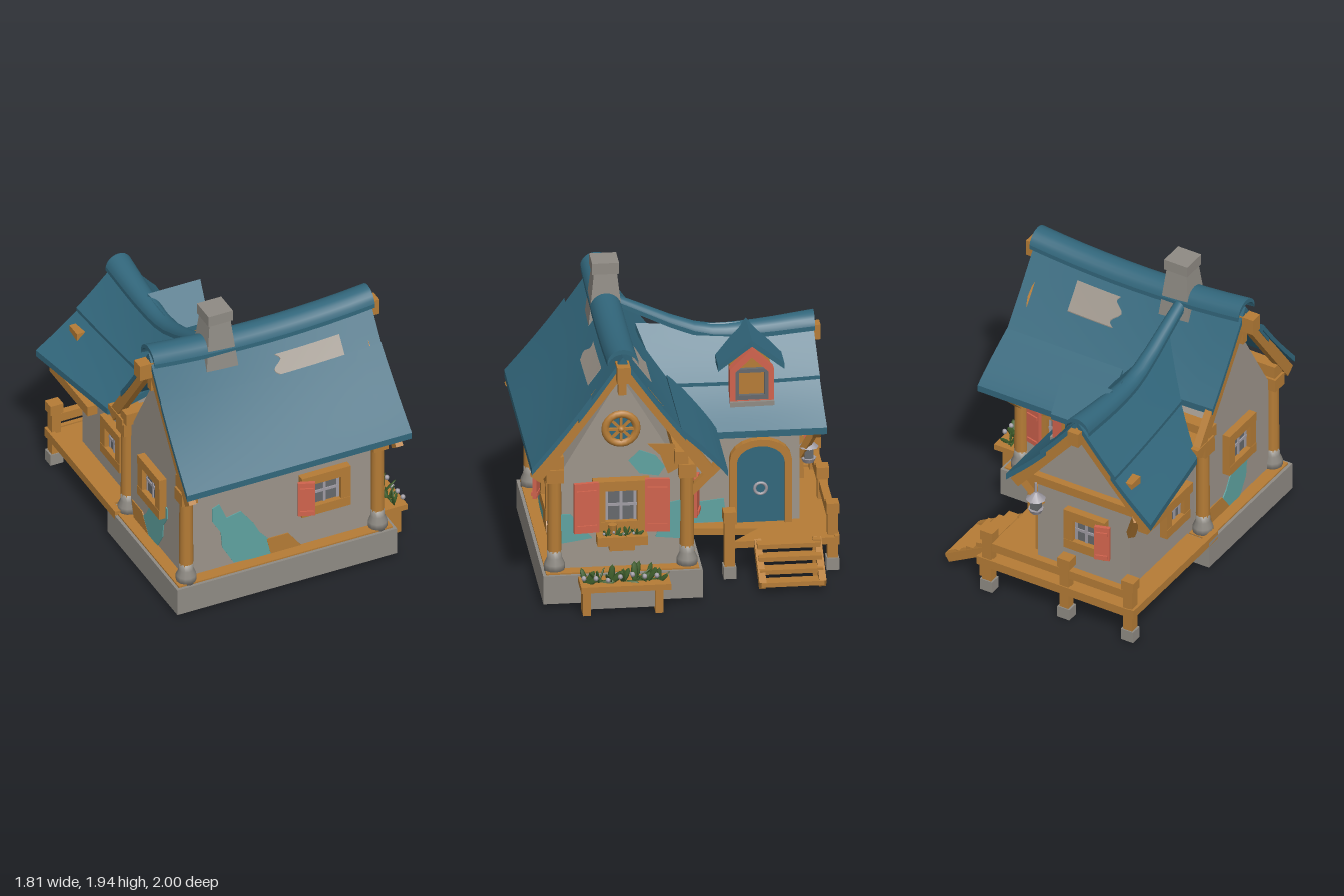
import * as THREE from 'three';

const mat = (name, color) => Object.assign(new THREE.MeshStandardMaterial({ color }), { name });
const M = {
  wall: mat('plaster', 0x9c948a), stone: mat('stone', 0x8f8b84), wood: mat('wood', 0xb57c36),
  roof: mat('roof teal', 0x32677c), patch: mat('faded teal', 0x5fa3a0), coral: mat('coral', 0xd0634d),
  leaf: mat('leaf green', 0x40602c), glass: mat('glass', 0x66696c), petal: mat('petal grey', 0xa09ca4),
};
const lerp = THREE.MathUtils.lerp;
const V = (x, y, z) => new THREE.Vector3(x, y, z);
const D90 = Math.PI / 2;

export function createModel() {
  const model = new THREE.Group();
  model.name = 'cottage';

  const add = (name, geo, m, x = 0, y = 0, z = 0, ry = 0, parent = model) => {
    const mesh = new THREE.Mesh(geo, m);
    mesh.name = name;
    mesh.position.set(x, y, z);
    mesh.rotation.y = ry;
    parent.add(mesh);
    return mesh;
  };
  const box = (name, m, w, h, d, x, y, z, ry = 0, parent = model) =>
    add(name, new THREE.BoxGeometry(w, h, d), m, x, y, z, ry, parent);
  const shape = (pts) => new THREE.Shape(pts.map(([a, b]) => new THREE.Vector2(a, b)));
  const slab = (pts, depth, hole) => {
    const s = shape(pts);
    if (hole) s.holes.push(shape(hole));
    return new THREE.ExtrudeGeometry(s, { depth, bevelEnabled: false });
  };
  // straight timber between two points
  const beam = (name, a, b, w = 0.05, h = 0.05, m = M.wood) => {
    const mesh = box(name, m, w, h, a.distanceTo(b), 0, 0, 0);
    mesh.position.copy(a).lerp(b, 0.5);
    mesh.lookAt(b);
    return mesh;
  };
  // thick curved sheet: u runs along x, v along z
  const sheet = (name, f, t = 0.045, m = M.roof, n = 10) => {
    const g = new THREE.BoxGeometry(1, 1, 1, n, 1, n), p = g.attributes.position;
    for (let i = 0; i < p.count; i++) {
      const q = f(p.getX(i) + 0.5, p.getZ(i) + 0.5);
      p.setXYZ(i, q.x, q.y + p.getY(i) * t, q.z);
    }
    g.computeVertexNormals();
    return add(name, g, m);
  };

  // stone base and plastered house body
  box('stoneBase', M.stone, 1.54, 0.19, 1.01, -0.07, 0.125, 0.415);
  box('floorSill', M.wood, 1.5, 0.012, 0.97, -0.07, 0.224, 0.415);
  add('mainWalls', slab([[-0.82, 0.22], [0, 0.22], [0, 0.9], [-0.06, 0.92], [-0.42, 1.53], [-0.78, 0.92], [-0.82, 0.9]], 1.34), M.wall, -0.74, 0, 0, D90);
  add('wingWalls', slab([[-0.68, 0.2], [0, 0.2], [0, 0.88], [-0.34, 1.34], [-0.68, 0.88]], 0.82), M.wall, 0, 0, -0.78);

  // corner posts with bell shaped stone feet
  const bell = new THREE.LatheGeometry([[0, 0], [0.066, 0], [0.066, 0.05], [0.048, 0.09], [0.046, 0.14], [0, 0.14]].map(([r, y]) => new THREE.Vector2(r, y)), 12);
  for (const x of [-0.74, 0.6]) for (const z of [0.84, 0]) {
    add('postFoot', bell, M.stone, x, 0.22, z);
    add('cornerPost', new THREE.CylinderGeometry(0.043, 0.046, 0.54, 10), M.wood, x, 0.62, z);
    box('postCapital', M.wood, 0.11, 0.09, 0.11, x, 0.88, z);
  }
  for (const z of [0.83, 0.04]) beam('wallPlate', V(-0.79, 0.98, z), V(0.67, 0.98, z), 0.085, 0.085);
  beam('cornerBrace', V(0.6, 0.72, -0.02), V(0.6, 0.9, -0.2));
  beam('cornerBrace', V(0.5, 0.7, -0.02), V(0.12, 0.9, -0.1));
  box('eaveBoard', M.wood, 0.2, 0.04, 0.2, -0.7, 0.94, -0.06);

  // main roof
  const sag = (x) => 0.05 * (x / 0.77) ** 2 - 0.03;
  const slopeY = (x, z) => {
    const t = Math.abs(z - 0.42) / 0.58;
    return lerp(1.68 + sag(x), 0.94, t) - 0.03 * Math.sin(Math.PI * Math.min(t, 1));
  };
  const course = (name, x0, x1, z0, z1, lift) => sheet(name, (u, v) => {
    const x = lerp(x0, x1, u), z = lerp(z0, z1, v);
    return V(x, slopeY(x, z) + lift, z);
  });
  course('frontUpperRoof', -0.8, 0.735, 0.42, 0.7, 0);
  sheet('frontLowerRoof', (u, v) => {
    const z = lerp(0.62, 1, v), x = lerp(-0.81, 0.735 + 0.03 * v, u);
    return V(x, slopeY(x, z) + 0.03, z);
  });
  course('rearUpperRoof', -0.8, 0.735, 0.02, 0.42, 0);
  sheet('rearLowerRoof', (u, v) => {
    const x = lerp(-0.12, 0.775 - 0.04 * v, u);
    return V(x, lerp(0.91, 1.19, v ** 0.9), lerp(-0.24, 0.05, v));
  });
  sheet('mainRidgeCap', (u, v) => {
    const x = lerp(-0.805, 0.735, u), a = lerp(-1.4, 1.4, v);
    return V(x, 1.645 + 0.9 * sag(x) + 0.095 * Math.cos(a), 0.42 + 0.1 * Math.sin(a));
  }, 0.03);
  // bare plaster where tiles are missing
  const bare = (z0, z1, x0, x1) => sheet('bareRoofPatch', (u, v) => {
    const x = lerp(x0 + 0.03 * Math.sin(v * 9), x1, u), z = lerp(z0, z1, v);
    return V(x, slopeY(x, z) + 0.026, z);
  }, 0.008, M.wall);
  bare(0.53, 0.64, 0.03, 0.48);
  bare(0.2, 0.32, 0.05, 0.38);

  // main gable trim
  for (const [x, end] of [[0.68, 0.76], [-0.77, -0.845]]) {
    for (const s of [1, -1]) {
      const foot = s > 0 ? V(x, 0.89, 0.97) : V(x, 0.89, -0.13);
      beam('bargeboard', V(x, 1.62, 0.42 + s * 0.01), foot, 0.05, 0.075);
    }
    box('ridgeBeam', M.wood, 0.12, 0.11, 0.085, end - Math.sign(end) * 0.025, 1.615, 0.42);
    box('kingPost', M.wood, 0.05, 0.13, 0.05, x, 1.51, 0.42);
  }

  // wing roof with sagging ridge
  const ridgeY = (z) => 1.4 + 0.09 * (z + 0.3) ** 2;
  for (const s of [-1, 1]) {
    const half = (z) => s > 0 ? 0.5 : lerp(0.57, 0.44, (z + 0.95) / 0.78);
    const part = (name, t0, t1, lift) => sheet(name, (u, v) => {
      const t = s > 0 ? lerp(t0, t1, u) : lerp(t1, t0, u);
      const z = lerp(-0.9 - 0.04 * t, lerp(0.22, s > 0 ? -0.04 : -0.17, t), v);
      return V(-0.36 + s * t * half(z), lerp(ridgeY(z), 0.89, t) - 0.03 * Math.sin(Math.PI * t) + lift, z);
    });
    part('wingUpperRoof', 0, 0.52, 0.025);
    part('wingLowerRoof', 0.46, 1, 0);
    beam('wingBargeboard', V(-0.36, 1.38, -0.86), V(s > 0 ? 0.1 : -0.87, 0.84, -0.88), 0.05, 0.07);
    beam('wingBrace', V(-0.36 + s * 0.33, 0.66, -0.79), V(-0.36 + s * 0.42, 0.86, -0.87), 0.045, 0.045);
  }
  const spine = new THREE.CatmullRomCurve3([V(0, 1.4, -0.91), V(0, 1.365, -0.5), V(0, 1.38, -0.2), V(0, 1.61, 0.33)]);
  sheet('wingRidgeCap', (u, v) => {
    const p = spine.getPoint(v), a = lerp(-1.4, 1.4, u), r = lerp(0.09, 0.04, v);
    return V(-0.365 + r * Math.sin(a), p.y + r * Math.cos(a), p.z);
  }, 0.03);
  box('wingRidgeBeam', M.wood, 0.08, 0.1, 0.14, -0.36, 1.37, -0.88);
  box('wingTieBeam', M.wood, 0.84, 0.06, 0.06, -0.4, 0.86, -0.8);
  box('wingBeamEnd', M.wood, 0.09, 0.1, 0.11, -0.69, 1.05, -0.8);
  box('wingEaveBeam', M.wood, 0.07, 0.07, 0.55, -0.83, 0.81, -0.6);

  // chimney
  const chimney = new THREE.CylinderGeometry(0.1, 0.165, 0.42, 4).rotateY(Math.PI / 4).toNonIndexed();
  chimney.computeVertexNormals();
  add('chimneyStack', chimney, M.stone, -0.335, 1.68, 0.42);
  box('chimneyCap', M.stone, 0.17, 0.075, 0.17, -0.335, 1.9, 0.42);

  // windows, built facing +z
  const windowAt = (x, y, z, ry, w, h, shutters) => {
    const g = new THREE.Group(), f = 0.065;
    g.name = 'window';
    g.position.set(x, y, z);
    g.rotation.y = ry;
    model.add(g);
    box('pane', M.glass, w - f, h - f, 0.03, 0, 0, 0, 0, g);
    for (const s of [-1, 1]) {
      box('frameSide', M.wood, f, h, 0.08, s * (w - f) / 2, 0, 0.01, 0, g);
      box('frameRail', M.wood, w, f, 0.085, 0, s * (h - f) / 2, 0.01, 0, g);
      box('sash', M.petal, 0.018, h - f, 0.04, s * (w / 2 - f - 0.01), 0, 0, 0, g);
    }
    box('mullion', M.petal, 0.018, h - f, 0.045, 0, 0, 0, 0, g);
    box('glazingBar', M.petal, w - f, 0.018, 0.045, 0, 0, 0, 0, g);
    for (const [sx, sw, sh, tilt] of shutters) {
      box('shutter', M.coral, sw, sh, 0.025, sx, 0.01, 0.075, tilt, g);
      for (const dy of [-0.35, 0.35]) box('hinge', M.coral, sw * 0.8, 0.025, 0.04, sx, dy * sh, 0.078, tilt, g);
    }
  };
  windowAt(0.225, 0.62, 0.82, 0, 0.34, 0.3, [[-0.15, 0.11, 0.25, -0.35]]);
  windowAt(0.6, 0.66, 0.42, D90, 0.33, 0.34, [[-0.225, 0.16, 0.34, 0.1], [0.225, 0.155, 0.36, -0.1]]);
  windowAt(-0.74, 0.67, 0.4, -D90, 0.32, 0.3, []);
  windowAt(-0.68, 0.55, -0.28, -D90, 0.28, 0.28, []);
  windowAt(-0.37, 0.56, -0.78, Math.PI, 0.3, 0.29, [[0.15, 0.1, 0.25, 0.3]]);
  windowAt(0.3, 0.62, 0, Math.PI, 0.3, 0.3, [[-0.16, 0.11, 0.27, -0.25]]);
  box('windowLintel', M.wood, 0.09, 0.06, 0.36, 0.63, 0.81, 0.42);

  // round gable window
  add('roundPane', new THREE.CylinderGeometry(0.1, 0.1, 0.03, 20).rotateZ(D90), M.roof, 0.6, 1.18, 0.42);
  add('roundFrame', new THREE.TorusGeometry(0.1, 0.025, 8, 20), M.wood, 0.62, 1.18, 0.42, D90);
  for (let i = 0; i < 4; i++)
    box('spoke', M.wood, 0.02, 0.19, 0.015, 0.625, 1.18, 0.42).rotation.x = i * Math.PI / 4;
  add('hub', new THREE.SphereGeometry(0.022, 8, 6), M.wood, 0.63, 1.18, 0.42);

  // arched door
  const arch = (hw, y0, y1, rise) => {
    const pts = [[-hw, y0], [hw, y0]];
    for (let i = 0; i <= 10; i++) pts.push([hw * Math.cos(i * Math.PI / 10), y1 + rise * Math.sin(i * Math.PI / 10)]);
    return pts;
  };
  add('doorFrame', slab(arch(0.197, 0.23, 0.67, 0.14), 0.07, arch(0.152, 0.235, 0.65, 0.115)), M.wood, -0.02, 0, -0.53, D90);
  add('door', slab(arch(0.16, 0.23, 0.65, 0.12), 0.03), M.roof, -0.01, 0, -0.53, D90);
  add('doorRing', new THREE.TorusGeometry(0.038, 0.01, 6, 16), M.petal, 0.035, 0.47, -0.53, D90);

  // dormer
  const house = (hw, y0, y1, top) => [[-hw, y0], [hw, y0], [hw, y1], [0, top], [-hw, y1]];
  add('dormerFrame', slab(house(0.14, 1.03, 1.27, 1.41), 0.06, house(0.105, 1.06, 1.25, 1.35)), M.coral, -0.07, 0, -0.48, D90);
  add('dormerBody', slab(house(0.13, 1.03, 1.26, 1.4), 0.24), M.wood, -0.28, 0, -0.48, D90);
  add('dormerSash', slab([[-0.105, 1.06], [0.105, 1.06], [0.105, 1.27], [-0.105, 1.27]], 0.03, [[-0.08, 1.09], [0.08, 1.09], [0.08, 1.245], [-0.08, 1.245]]), M.glass, -0.045, 0, -0.48, D90);
  box('dormerSill', M.stone, 0.06, 0.04, 0.28, -0.02, 1.035, -0.48);
  for (const s of [-1, 1]) sheet('dormerRoof', (u, v) => {
    const t = s > 0 ? v : 1 - v;
    return V(lerp(lerp(-0.37, -0.22, t), lerp(0.0, -0.04, t), u), lerp(1.45, 1.27, t), -0.48 + s * 0.21 * t);
  }, 0.04);

  // porch deck, rails and steps
  add('deck', slab([[-0.82, 0.98], [0.32, 0.98], [0.32, 0.32], [0.13, 0.5], [0.08, 0.09], [-0.82, 0.09]], 0.045), M.wood, 0, 0.19, 0).rotation.x = -D90;
  beam('deckEdge', V(-0.82, 0.22, -1), V(-0.82, 0.22, 0.02), 0.04, 0.06);
  for (const [x, z] of [[-0.79, -0.96], [-0.32, -0.96], [0.25, -0.96], [0.32, -0.3]]) {
    box('railPost', M.wood, 0.065, 0.34, 0.065, x, 0.23, z);
    box('railPostCap', M.wood, 0.09, 0.07, 0.08, x, 0.42, z);
    box('railPostFoot', M.stone, 0.09, 0.08, 0.08, x, 0.04, z);
  }
  for (const x of [[-0.79, -0.32], [-0.32, 0.25]]) beam('backRail', V(x[0], 0.34, -0.96), V(x[1], 0.34, -0.96), 0.05, 0.06);
  beam('deckBackEdge', V(-0.84, 0.215, -0.985), V(0.32, 0.215, -0.985), 0.03, 0.06);
  for (const z of [-0.86, -0.48]) beam('stairSide', V(0.3, 0.22, z), V(0.61, 0.05, z), 0.045, 0.06);
  for (let i = 0; i < 4; i++) box('stairTread', M.wood, 0.085, 0.03, 0.4, 0.36 + i * 0.075, 0.225 - i * 0.055, -0.67);
  box('stairPost', M.wood, 0.05, 0.25, 0.05, 0.35, 0.125, -0.85);

  // lantern under the wing eave
  box('lanternGlass', M.glass, 0.055, 0.08, 0.055, -0.02, 0.68, -0.84);
  for (const [r0, r1, h, y] of [[0.01, 0.065, 0.05, 0.745], [0.05, 0.035, 0.03, 0.63], [0.008, 0.008, 0.08, 0.8]])
    add('lanternMetal', new THREE.CylinderGeometry(r0, r1, h, 8), M.petal, -0.02, y, -0.84);

  // planters
  box('windowBox', M.wood, 0.1, 0.06, 0.32, 0.68, 0.45, 0.42);
  box('windowBoxBracket', M.wood, 0.06, 0.05, 0.16, 0.66, 0.395, 0.42);
  box('planterRim', M.wood, 0.18, 0.04, 0.57, 0.79, 0.19, 0.415);
  box('planterBody', M.stone, 0.12, 0.14, 0.44, 0.75, 0.1, 0.42);
  for (const z of [0.2, 0.66]) box('planterLeg', M.wood, 0.13, 0.17, 0.05, 0.78, 0.085, z);

  // plants
  let seed = 7;
  const rnd = () => (seed = (seed * 16807) % 2147483647) / 2147483647;
  const leafGeo = new THREE.SphereGeometry(1, 6, 4).translate(0, 1, 0);
  const plants = (n, x, y, z0, z1, size) => {
    for (let i = 0; i < n; i++) {
      const z = lerp(z0, z1, (i + 0.5) / n), k = size * (0.75 + 0.4 * rnd());
      for (let j = 0; j < 4; j++) {
        const leaf = add('leaf', leafGeo, M.leaf, x, y, z);
        leaf.scale.set(k * 0.35, k, k * 0.12);
        leaf.rotation.set((j - 1.5) * 0.55, rnd() * 3, -0.9 * rnd(), 'XYZ');
      }
      add('flower', new THREE.SphereGeometry(size * 0.28, 6, 5), M.petal, x + size * 0.9, y + size * (0.7 + 0.6 * rnd()), z + 0.02);
    }
  };
  plants(7, 0.8, 0.2, 0.16, 0.7, 0.062);
  plants(4, 0.69, 0.47, 0.3, 0.55, 0.034);
  add('flowerPot', new THREE.CylinderGeometry(0.03, 0.022, 0.06, 8), M.wood, 0.68, 0.52, 0.48);

  // worn paint on the walls
  const paint = (m, pts, x, y, z, ry = 0) => add('wornPaint', slab(pts, 0.007), m, x, y, z, ry);
  const tealPts = [[-0.55, 0.7], [-0.5, 0.72], [-0.45, 0.6], [-0.35, 0.62], [-0.26, 0.5], [-0.22, 0.42], [-0.15, 0.34], [-0.13, 0.22], [-0.4, 0.24], [-0.48, 0.38], [-0.49, 0.5], [-0.55, 0.6]];
  const woodPts = [[-0.17, 0.35], [-0.02, 0.35], [0.07, 0.23], [-0.14, 0.22]];
  paint(M.patch, tealPts, 0, 0, 0.82);
  paint(M.wood, woodPts, 0, 0, 0.821);
  paint(M.patch, [[-0.37, 0.95], [-0.3, 1.02], [-0.2, 0.98], [-0.14, 0.9], [-0.18, 0.84], [-0.3, 0.86]], 0.6, 0, 0, D90);
  paint(M.wood, [[-0.25, 1.06], [-0.08, 1.05], [-0.03, 0.9], [-0.12, 0.85], [-0.17, 0.98]], 0.6, 0, 0, D90);
  paint(M.patch, [[-0.12, 0.65], [-0.02, 0.67], [-0.02, 0.4], [-0.2, 0.42]], 0.6, 0, 0, D90);
  paint(M.patch, [[-0.8, 0.6], [-0.74, 0.6], [-0.6, 0.43], [-0.8, 0.4]], 0.6, 0, 0, D90);
  paint(M.patch, tealPts.map(([a, b]) => [-a * 0.9 + 0.08, b * 0.8 + 0.04]), -0.74, 0, 0, -D90).material = M.patch;
  paint(M.wood, woodPts.map(([a, b]) => [a + 0.24, b]), -0.741, 0, 0, -D90);
  paint(M.patch, [[0.11, 0.24], [0.32, 0.24], [0.3, 0.4], [0.11, 0.38]], 0, 0, 0, D90);

  return model;
}
